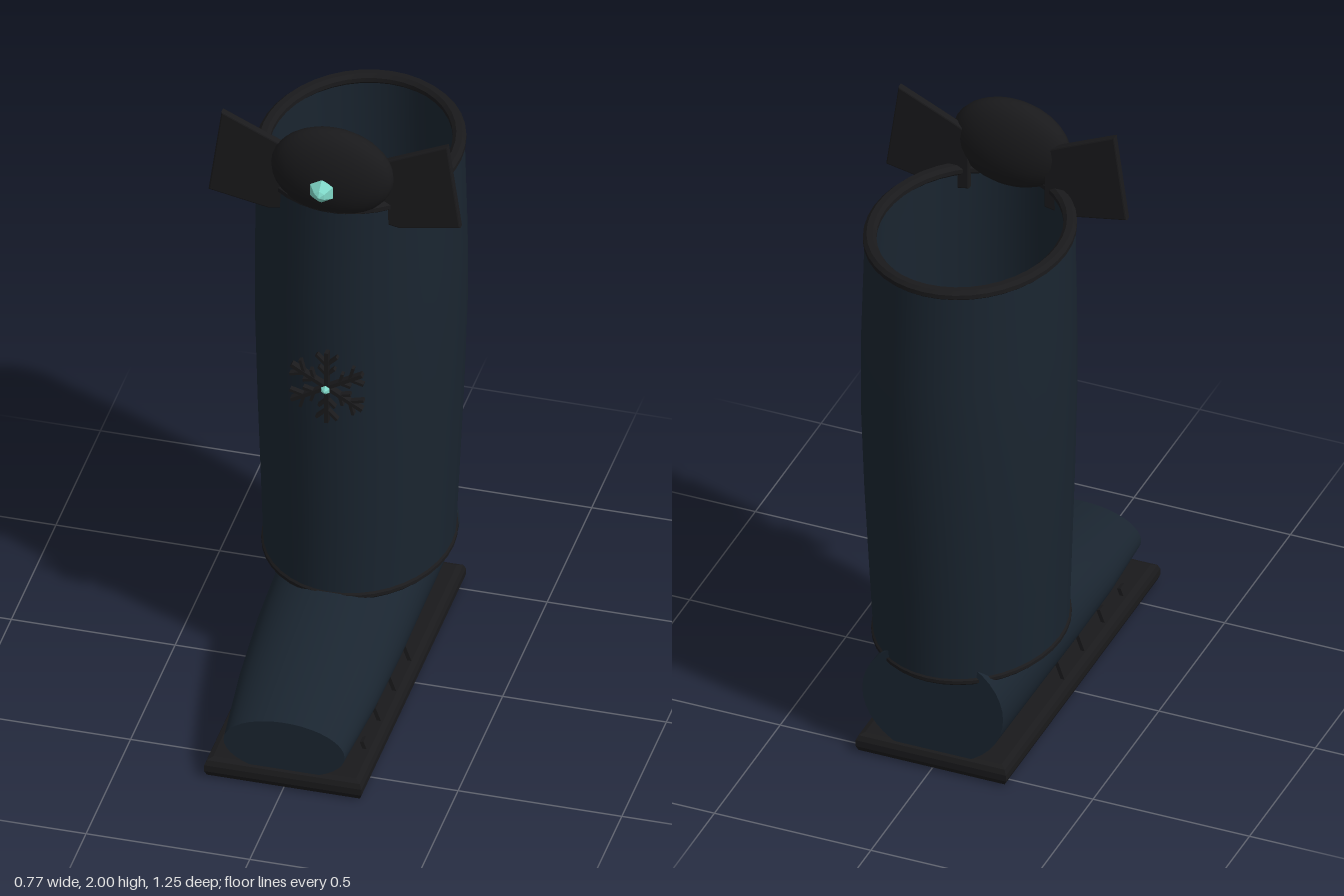
import * as THREE from 'three';
import { toCreasedNormals } from 'three/addons/utils/BufferGeometryUtils.js';

const navy = new THREE.MeshStandardMaterial({ color: 0x1a2530 });
const black = new THREE.MeshStandardMaterial({ color: 0x1a1a1c });
const mint = new THREE.MeshStandardMaterial({ color: 0x7fd8c8 });

// Loft of ellipses stacked along y; each row is [y, half width, z front, z back].
function loft(rows, seg = 40, crease = 0.7) {
  const pos = [], idx = [];
  rows.forEach(([y, rx, zf, zb], i) => {
    for (let j = 0; j < seg; j++) {
      const t = (j / seg) * Math.PI * 2;
      pos.push(rx * Math.cos(t), y, (zf + zb) / 2 + ((zf - zb) / 2) * Math.sin(t));
      if (i === rows.length - 1) continue;
      const a = i * seg + j, b = i * seg + ((j + 1) % seg);
      idx.push(a, a + seg, b, b, a + seg, b + seg);
    }
  });
  const g = new THREE.BufferGeometry();
  g.setAttribute('position', new THREE.Float32BufferAttribute(pos, 3));
  g.setIndex(idx);
  return toCreasedNormals(g, crease);
}

function add(parent, name, geometry, material, x = 0, y = 0, z = 0) {
  const mesh = new THREE.Mesh(geometry, material);
  mesh.name = name;
  mesh.position.set(x, y, z);
  parent.add(mesh);
  return mesh;
}

// Flat outline given thickness and a bevelled edge, centred on z = 0.
function plate(points, depth, bevel) {
  const shape = new THREE.Shape(points.map(([x, y]) => new THREE.Vector2(x, y)));
  const g = new THREE.ExtrudeGeometry(shape, {
    depth: depth - 2 * bevel, bevelThickness: bevel, bevelSize: bevel,
    bevelOffset: -bevel, bevelSegments: 2,
  });
  return g.translate(0, 0, bevel - depth / 2);
}

// Faceted cut stone pointing along z.
function gem(r) {
  const p = [[0, -0.85], [0.4, -0.85], [1, -0.1], [0.45, 0.6], [0, 0.85]];
  const g = new THREE.LatheGeometry(p.map(([x, y]) => new THREE.Vector2(x * r, y * r)), 6);
  return toCreasedNormals(g.rotateX(Math.PI / 2), 0.1);
}

// Elliptical trim ring.
function ring(name, parent, y, rx, zf, zb, w, h) {
  const e = h * 0.3;
  const row = (yy, d) => [yy, rx - d, zf - d, zb + d];
  add(parent, name, loft([
    row(y - h / 2, w - e), row(y - h / 2, e), row(y - h / 2 + e, 0), row(y + h / 2 - e, 0),
    row(y + h / 2, e), row(y + h / 2, w - e), row(y + h / 2 - e, w), row(y - h / 2 + e, w),
    row(y - h / 2, w - e),
  ]), black);
}

export function createModel() {
  const boot = new THREE.Group();
  boot.name = 'boot';

  // Shaft: open tube with an outer and an inner wall
  const outer = [
    [0.34, 0.28, 0.105, -0.575], [0.6, 0.29, 0.11, -0.595], [0.85, 0.3, 0.115, -0.612],
    [1.15, 0.309, 0.118, -0.624], [1.4, 0.309, 0.116, -0.621], [1.74, 0.302, 0.11, -0.603],
  ];
  const inner = outer.map(([y, rx, f, b]) => [y, rx - 0.025, f - 0.025, b + 0.025]).reverse();
  add(boot, 'shaft', loft([...outer, ...inner, outer[0]]), navy);
  ring('topTrim', boot, 1.738, 0.307, 0.115, -0.608, 0.04, 0.035);
  ring('ankleTrim', boot, 0.346, 0.286, 0.111, -0.581, 0.035, 0.026);

  // Foot: lofted along z with flat toe and heel ends; rows are [z, half width, -bottom, -top]
  const foot = loft([
    [-0.53, 0, -0.22, -0.22], [-0.53, 0.225, -0.03, -0.425], [-0.2, 0.225, -0.03, -0.41],
    [0.1, 0.222, -0.035, -0.357], [0.35, 0.21, -0.04, -0.295], [0.615, 0.185, -0.045, -0.23],
    [0.615, 0, -0.14, -0.14],
  ]);
  add(boot, 'foot', foot.rotateX(Math.PI / 2), navy);

  // Sole: slab with bevelled edges
  const sole = plate([[-0.24, -0.5875], [0.24, -0.5875], [0.24, 0.5875], [-0.24, 0.5875]], 0.065, 0.022);
  add(boot, 'sole', sole.rotateX(Math.PI / 2), black, 0, 0.0325, 0.0425);

  // Small tabs along both sides of the foot
  for (const s of [-1, 1]) {
    [0.44, 0.29, 0.13, -0.03].forEach((z, i) => {
      const h = 0.04 + i * 0.017;
      const tab = add(boot, 'sideTab', new THREE.BoxGeometry(0.012, h, 0.03), black,
        s * 0.2, 0.05 + h / 2, z);
      tab.rotation.z = s * 0.35;
    });
  }

  // Bow: two flat loops, a round knot and a jewel
  const bow = new THREE.Group();
  bow.name = 'bow';
  boot.add(bow);
  const wing = [[0.12, 1.68], [0.2, 1.665], [0.385, 1.7], [0.345, 1.985], [0.17, 1.905], [0.12, 1.88]];
  for (const s of [-1, 1]) {
    const pts = wing.map(([x, y]) => [s * x, y]);
    add(bow, 'bowWing', plate(pts, 0.024, 0.005), black, 0, 0, 0.04);
  }
  add(bow, 'bowKnot', new THREE.SphereGeometry(1, 24, 16).scale(0.187, 0.148, 0.073), black, 0, 1.852, 0.072);
  add(bow, 'bowJewel', gem(0.04), mint, 0, 1.86, 0.198);

  // Snowflake: six branching arms around a small jewel
  const flake = new THREE.Group();
  flake.name = 'snowflake';
  flake.position.set(0, 1.115, 0.132);
  boot.add(flake);
  for (let i = 0; i < 6; i++) {
    const arm = new THREE.Group();
    arm.name = 'snowflakeArm';
    arm.rotation.z = (i * Math.PI) / 3;
    flake.add(arm);
    add(arm, 'armStem', new THREE.BoxGeometry(0.012, 0.125, 0.022), black, 0, 0.0625, 0);
    for (const [y, len] of [[0.045, 0.035], [0.08, 0.045]]) {
      for (const s of [-1, 1]) {
        const a = Math.PI / 4;
        const twig = add(arm, 'armBranch', new THREE.BoxGeometry(0.009, len, 0.018), black,
          s * Math.sin(a) * len / 2, y + Math.cos(a) * len / 2, 0);
        twig.rotation.z = -s * a;
      }
    }
  }
  add(flake, 'snowflakeJewel', gem(0.015), mint, 0, 0, 0.022);

  return boot;
}
